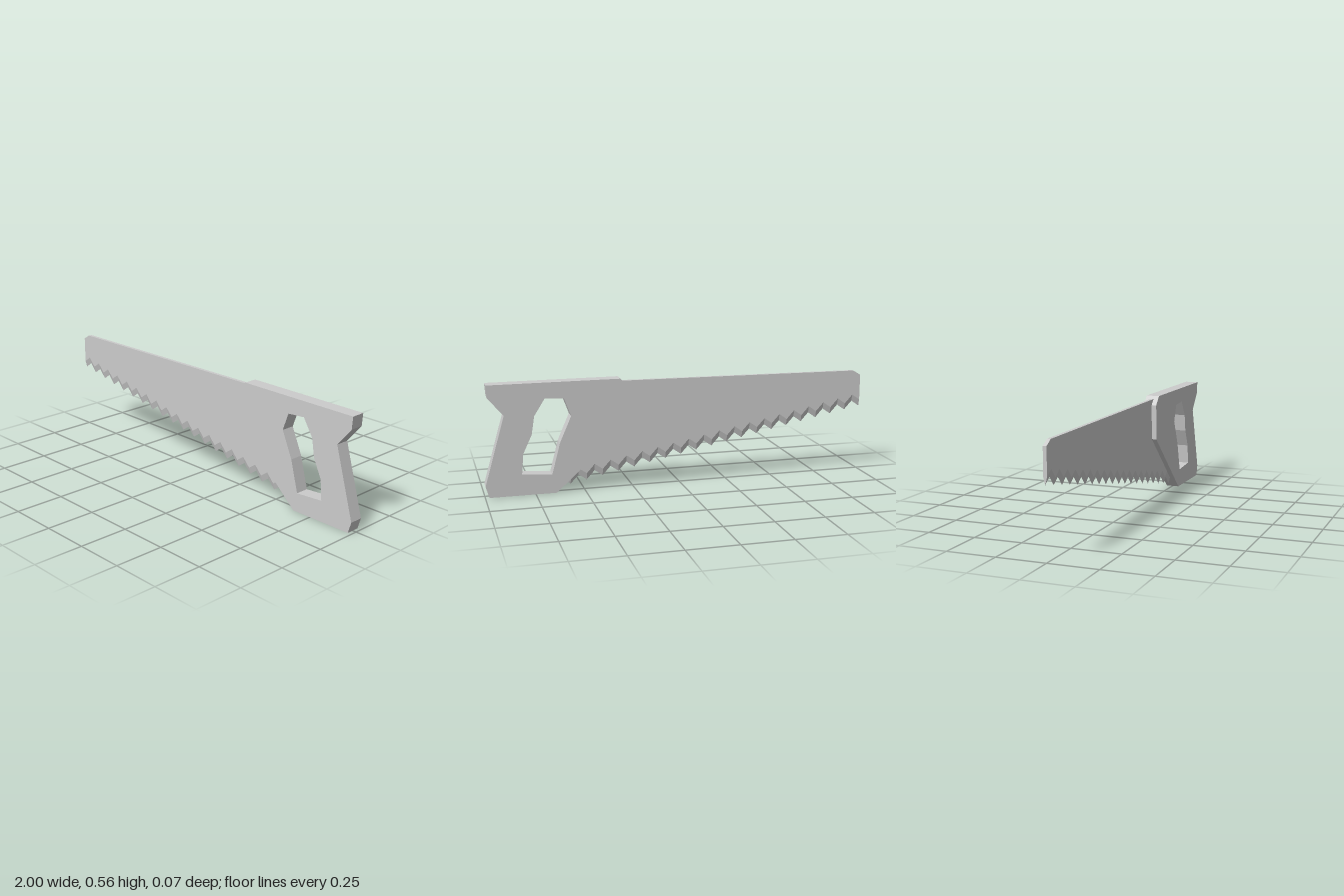
import * as THREE from 'three';

const material = new THREE.MeshStandardMaterial({ color: 0xcccccc, flatShading: true });
const toPoints = (list) => list.map(([x, y]) => new THREE.Vector2(x, y));

// Thick angular plate with a grip opening
function createHandle() {
  const shape = new THREE.Shape(toPoints([
    [0.27, 0.52], [0.275, 0.335], [0.645, 0], [0.98, 0], [0.997, 0.057],
    [0.895, 0.41], [0.972, 0.502], [0.977, 0.565], [0.312, 0.565],
  ]));
  shape.holes.push(new THREE.Path(toPoints([
    [0.597, 0.48], [0.692, 0.487], [0.747, 0.4], [0.762, 0.307], [0.807, 0.212],
    [0.816, 0.107], [0.666, 0.096], [0.623, 0.257], [0.564, 0.39],
  ])));
  const geometry = new THREE.ExtrudeGeometry(shape, { depth: 0.07, bevelEnabled: false });
  geometry.translate(0, 0, -0.035);
  const mesh = new THREE.Mesh(geometry, material);
  mesh.name = 'handle';
  return mesh;
}

// Thin blade: five-sided sections along x, alternating tooth tip and gullet,
// with the lower edge ground from both sides to a central ridge
function createBlade() {
  const steps = 39, pitch = 0.0413, half = 0.009, bevel = 0.035;
  const cutStart = 32; // past here the blade tapers off inside the handle
  const positions = [], index = [];

  for (let k = 0; k <= steps; k++) {
    const x = -1 + k * pitch;
    const ridge = 0.345 - 0.2 * (x + 1) + (k % 2 ? 0.037 : 0);
    const low = ridge + bevel;
    let top = 0.547 + 0.008 * x;
    if (k === 0) top = 0.515;
    if (k > cutStart) top = THREE.MathUtils.lerp(0.55, 0.11, (k - cutStart) / (steps - cutStart));
    positions.push(
      x, ridge, 0, x, low, half, x, top, half, x, top, -half, x, low, -half,
    );
  }

  // Side faces between neighbouring sections
  for (let k = 0; k < steps; k++) {
    for (let s = 0; s < 5; s++) {
      const a = k * 5 + s, b = k * 5 + (s + 1) % 5;
      index.push(a, a + 5, b + 5, a, b + 5, b);
    }
  }
  // End caps
  const end = steps * 5;
  for (let s = 1; s < 4; s++) {
    index.push(0, s, s + 1, end, end + s + 1, end + s);
  }

  const indexed = new THREE.BufferGeometry();
  indexed.setAttribute('position', new THREE.Float32BufferAttribute(positions, 3));
  indexed.setIndex(index);
  const geometry = indexed.toNonIndexed();
  geometry.computeVertexNormals();
  const mesh = new THREE.Mesh(geometry, material);
  mesh.name = 'toothedBlade';
  return mesh;
}

export function createModel() {
  const group = new THREE.Group();
  group.name = 'handSaw';
  group.add(createHandle(), createBlade());
  return group;
}
